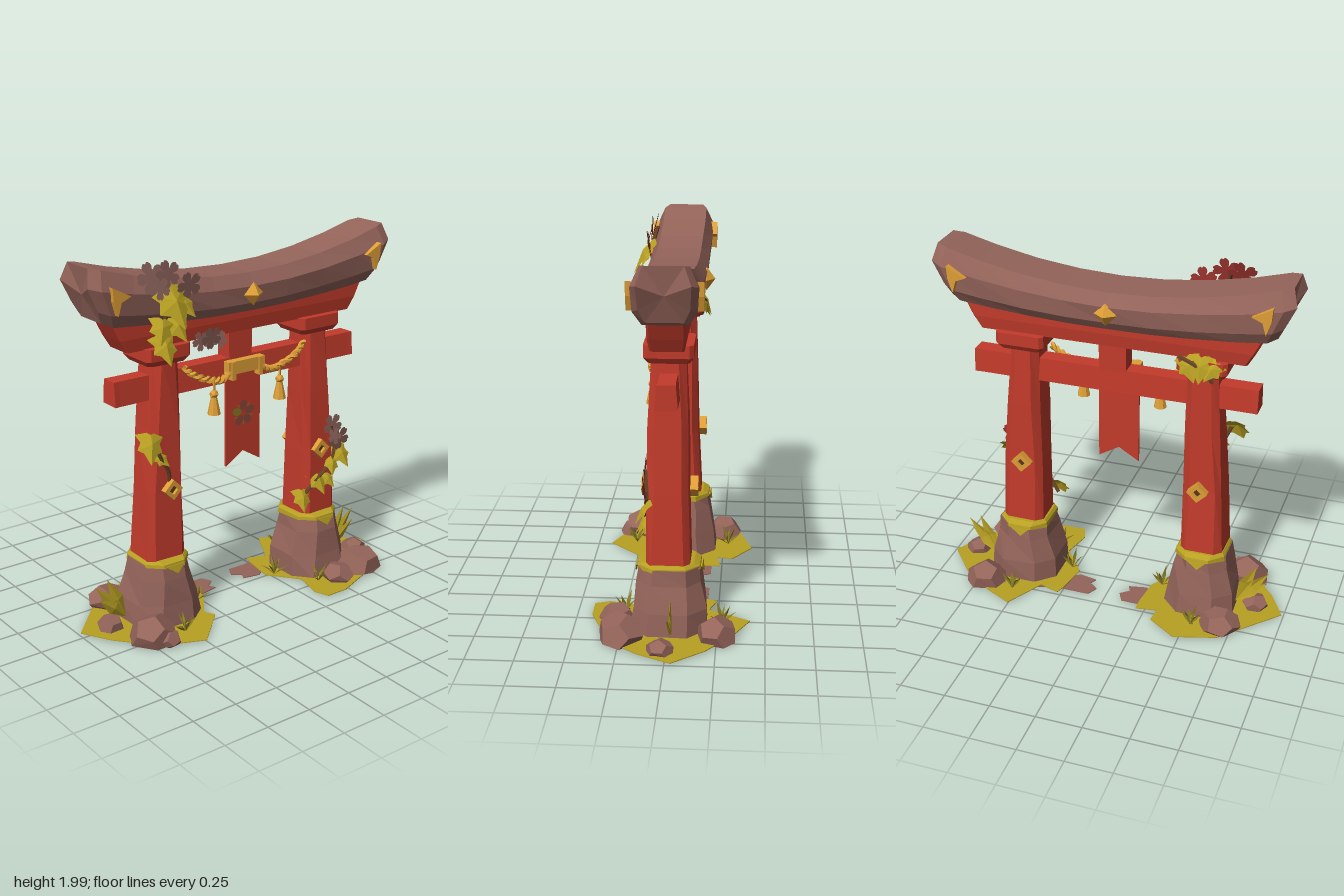
import * as THREE from 'three';

const mat = (name, color, double) => {
  const m = new THREE.MeshStandardMaterial({ color });
  m.name = name;
  if (double) m.side = THREE.DoubleSide;
  return m;
};

export function createModel() {
  const root = new THREE.Group();
  const M = {
    red: mat('red lacquer', 0xc23b2b, true),
    stone: mat('mauve brown stone', 0x94645a),
    moss: mat('moss olive', 0xb9a123, true),
    grass: mat('dark grass', 0x857a22, true),
    gold: mat('gold', 0xdf9f37),
    vine: mat('vine brown', 0x684426),
    petal: mat('petal mauve', 0x8c625a),
    crimson: mat('petal back crimson', 0x94302a),
    emblem: mat('banner blossom brown', 0x87493a),
    dark: mat('dark recess', 0x5a321f),
  };
  let seed = 7;
  const rnd = () => (seed = (seed * 16807) % 2147483647) / 2147483647 - 0.5;
  const V = (x, y, z) => new THREE.Vector3(x, y, z);

  const add = (name, geo, material, parent = root) => {
    const g = geo.index ? geo.toNonIndexed() : geo;
    g.computeVertexNormals();
    const mesh = new THREE.Mesh(g, material);
    mesh.name = name;
    parent.add(mesh);
    return mesh;
  };
  const fromTris = (pts) => new THREE.BufferGeometry().setFromPoints(pts);

  // Closed faceted solid through rings of equal length, turned outward by its volume
  const loft = (rings) => {
    const t = [];
    const mid = (r) => r.reduce((a, p) => a.add(p), V(0, 0, 0)).divideScalar(r.length);
    const n = rings[0].length, first = rings[0], last = rings[rings.length - 1];
    const c0 = mid(first), c1 = mid(last);
    for (let j = 0; j < n; j++) {
      const k = (j + 1) % n;
      t.push(c0, first[k], first[j], c1, last[j], last[k]);
      for (let i = 0; i + 1 < rings.length; i++) {
        const a = rings[i], b = rings[i + 1];
        t.push(a[j], a[k], b[k], a[j], b[k], b[j]);
      }
    }
    let vol = 0;
    for (let i = 0; i < t.length; i += 3) vol += t[i].dot(t[i + 1].clone().cross(t[i + 2]));
    if (vol < 0) for (let i = 0; i < t.length; i += 3) [t[i + 1], t[i + 2]] = [t[i + 2], t[i + 1]];
    return fromTris(t);
  };
  // Rectangle with cut corners, as [u, v] pairs
  const cutRect = (a, b, c) => [[a, -b + c], [a, b - c], [a - c, b], [-a + c, b],
    [-a, b - c], [-a, -b + c], [-a + c, -b], [a - c, -b]];
  const ringY = (y, hx, hz, c, cx = 0, cz = 0, j = 0) =>
    cutRect(hx, hz, c).map(([x, z]) => V(cx + x + rnd() * j, y, cz + z + rnd() * j));

  // Mount on the +x (side 1) or -x (side -1) face; local x, y then run across that face
  const mount = (o, x, y, z, side = 1, roll = 0, tilt = 0) => {
    o.rotation.set(tilt, side * Math.PI / 2, roll, 'YXZ');
    o.position.set(x, y, z);
    return o;
  };
  const shape = (pts) => new THREE.Shape(pts.map(([x, y]) => new THREE.Vector2(x, y)));
  const slab = (pts, depth) => new THREE.ExtrudeGeometry(shape(pts), { depth, bevelEnabled: false });

  // Curved roof beam
  const stations = [-1, -0.94, -0.75, -0.5, -0.25, 0, 0.25, 0.5, 0.75, 0.94, 1];
  const profile = [[0.115, 0], [0.152, 0.24], [0.162, 0.68], [0.12, 1]];
  const section = [...profile, ...profile.slice().reverse().map(([x, v]) => [-x, v])];
  add('roofBeam', loft(stations.map((s) => {
    const yb = 1.64 + 0.05 * s * s, yt = 1.845 + 0.15 * s * s, end = Math.abs(s) === 1;
    return section.map(([x, v]) => {
      const reach = v < 0.68 ? 0.88 + 0.09 * v / 0.68 : 0.97 - 0.025 * (v - 0.68) / 0.32;
      const vv = end ? 0.06 + v * 0.92 : v;
      return V(x * (end ? 0.8 : 1) + (end ? 0 : rnd() * 0.008), yb + (yt - yb) * vv, s * reach);
    });
  })), M.stone);

  // Red beams
  add('upperBeam', loft([ringY(1.53, 0.085, 0.73, 0.012), ringY(1.6, 0.095, 0.77, 0.012),
    ringY(1.69, 0.095, 0.815, 0.012)]), M.red);
  add('tieBeam', loft([[-0.79, 1.12], [-0.76, 1], [0.76, 1], [0.79, 1.12]].map(([z, k]) =>
    [[0.055, 1.25], [0.045, 1.38], [-0.045, 1.38], [-0.055, 1.25]].map(([x, y]) =>
      V(x * (k > 1 ? 1.05 : 1), y, z)))), M.red);
  add('centreStrut', new THREE.BoxGeometry(0.1, 0.17, 0.15).translate(0, 1.455, 0), M.red);

  // Posts with capitals, stone feet, moss collars and gold ornaments
  for (const s of [1, -1]) {
    add('post', loft([[0.34, 0.12, 0.118, 0.525], [0.75, 0.108, 0.108, 0.518], [1.1, 0.1, 0.094, 0.505],
      [1.47, 0.09, 0.08, 0.495]].map(([y, hx, hz, cz]) => ringY(y, hx, hz, 0.035, 0.005, s * cz, 0.012))), M.red);
    add('capital', loft([ringY(1.44, 0.105, 0.115, 0.02, 0, s * 0.5), ringY(1.47, 0.125, 0.135, 0.02, 0, s * 0.5),
      ringY(1.535, 0.125, 0.135, 0.02, 0, s * 0.5)]), M.red);
    add('stoneFoot', loft([[0, 0.2, 0.2], [0.13, 0.192, 0.185], [0.27, 0.172, 0.15], [0.355, 0.155, 0.134]].map(
      ([y, hx, hz]) => ringY(y, hx, hz, hx * 0.48, 0, s * 0.525, 0.02))), M.stone);
    const low = ringY(0.342, 0.164, 0.14, 0.075, 0, s * 0.522);
    low.forEach((p, i) => { if (i % 3 === 0) p.y -= 0.012; });
    add('mossCollar', loft([low, ringY(0.36, 0.16, 0.138, 0.072, 0, s * 0.522),
      ringY(0.376, 0.13, 0.125, 0.05, 0, s * 0.522)]), M.moss);
    for (const side of [1, -1]) {
      const drip = add('mossDrip', slab([[-0.06, 0], [0.06, 0], [0.01, -0.05]], 0.008), M.moss);
      mount(drip, side * 0.163, 0.35, s * 0.52, side, 0, -0.2);
      const frame = shape([[-0.04, -0.04], [0.04, -0.04], [0.04, 0.04], [-0.04, 0.04]]);
      frame.holes.push(shape([[-0.018, -0.018], [-0.018, 0.018], [0.018, 0.018], [0.018, -0.018]]));
      const charm = mount(new THREE.Group(), side * 0.105, 0.765, s * 0.505, side, Math.PI / 4);
      charm.name = 'postOrnament';
      root.add(charm);
      add('ornamentFrame', new THREE.ExtrudeGeometry(frame, { depth: 0.04, bevelEnabled: false }), M.gold, charm);
      add('ornamentRecess', new THREE.BoxGeometry(0.037, 0.037, 0.02).translate(0, 0, 0.012), M.dark, charm);
      // Gold plate near the roof tip
      const m = side * s;
      const pts = [[-0.045, 0.06], [0.06, 0.005], [0.005, -0.018], [-0.015, -0.085], [-0.04, -0.01]];
      const plate = add('roofTipPlate', slab(pts.map(([x, y]) => [x * m, y]), 0.05), M.gold);
      mount(plate, side * 0.135, 1.84, s * 0.82, side);
    }
  }
  for (const side of [1, -1]) {
    const g = new THREE.OctahedronGeometry(1).scale(0.045, 0.062, 0.062);
    add('roofDiamond', g, M.gold).position.set(side * 0.16, 1.74, 0);
  }

  // Swallow-tailed banner with a painted blossom
  mount(add('banner', slab([[-0.115, 1.32], [-0.115, 0.78], [0, 0.85], [0.115, 0.78], [0.115, 1.32]], 0.012),
    M.red), 0.06, 0, 0);
  const emblem = mount(new THREE.Group(), 0.076, 1.065, 0);
  emblem.name = 'bannerBlossom';
  root.add(emblem);
  for (let i = 0; i < 5; i++) {
    const a = i * Math.PI * 0.4;
    add('bannerPetal', new THREE.CircleGeometry(0.027, 7).scale(0.85, 1.2, 1).translate(0, 0.045, 0).rotateZ(a),
      i === 1 ? M.grass : M.emblem, emblem);
    add('bannerSepal', new THREE.CircleGeometry(0.012, 3).scale(0.6, 1.6, 1).translate(0, 0.055, 0.001)
      .rotateZ(a + 0.63), M.grass, emblem);
  }

  // Plaque, twisted rope swags and tassels
  add('plaque', new THREE.BoxGeometry(0.045, 0.07, 0.24).translate(0.085, 1.34, 0), M.gold);
  for (const s of [1, -1]) {
    add('plaqueClasp', new THREE.BoxGeometry(0.055, 0.1, 0.025).translate(0.088, 1.325, s * 0.09), M.gold);
    const path = new THREE.CatmullRomCurve3([V(0.095, 1.4, s * 0.4), V(0.105, 1.35, s * 0.34),
      V(0.105, 1.305, s * 0.24), V(0.1, 1.29, s * 0.16), V(0.09, 1.32, s * 0.1)]);
    for (const phase of [0, Math.PI]) {
      const strand = Array.from({ length: 41 }, (_, i) => {
        const a = i * 0.75 + phase;
        return path.getPoint(i / 40).add(V(Math.cos(a) * 0.01, Math.sin(a) * 0.01, 0));
      });
      add('ropeStrand', new THREE.TubeGeometry(new THREE.CatmullRomCurve3(strand), 60, 0.012, 5), M.gold);
    }
    const tassel = new THREE.Group();
    tassel.name = 'tassel';
    tassel.position.set(0.11, 0, s * 0.22);
    root.add(tassel);
    add('tasselCord', new THREE.CylinderGeometry(0.007, 0.007, 0.07, 5).translate(0, 1.27, 0), M.gold, tassel);
    add('tasselKnot', new THREE.IcosahedronGeometry(0.026, 0).translate(0, 1.225, 0), M.gold, tassel);
    add('tasselSkirt', new THREE.CylinderGeometry(0.016, 0.036, 0.095, 8).translate(0, 1.163, 0), M.gold, tassel);
  }

  // Ivy leaf: fan around the midrib, sides folded back, tip hanging down
  const half = [[0.12, 0.08], [0.5, 0.02], [0.34, -0.25], [0.44, -0.5], [0.24, -0.6]];
  const rim = [[0, 0], ...half, [0, -1], ...half.slice().reverse().map(([x, y]) => [-x, y])]
    .map(([x, y]) => V(x, y, -Math.abs(x) * 0.3 - y * y * 0.15));
  const leafTris = rim.flatMap((p, i) => [V(0, -0.35, 0.04), rim[(i + 1) % rim.length], p]);
  const leafGeo = fromTris(leafTris);
  const leaf = (x, y, z, size, roll, tilt = -0.65, side = 1) =>
    mount(add('ivyLeaf', leafGeo.clone().scale(size, size, size), M.moss), x, y, z, side, roll, tilt);
  [[0.12, 1.09, 0.625, 0.16, -0.3], [0.11, 0.97, 0.58, 0.09, 0.6],
    [0.17, 1.85, 0.53, 0.22, 0.1], [0.18, 1.7, 0.58, 0.14, -0.4], [0.15, 1.69, 0.5, 0.14, 0.3],
    [0.13, 1.6, 0.55, 0.16, 0], [0.18, 1.8, 0.48, 0.13, 0.5],
    [0.1, 0.74, -0.66, 0.14, 0.2], [0.12, 0.69, -0.6, 0.11, -0.3], [0.11, 0.62, -0.49, 0.14, 0.1],
    [0.11, 0.53, -0.39, 0.13, -0.2], [0.12, 0.6, -0.55, 0.1, 0.4],
  ].forEach((a) => leaf(...a));
  [[-0.12, 1.55, 0.42, 0.14, 0.4], [-0.12, 1.56, 0.5, 0.14, 0], [-0.12, 1.54, 0.58, 0.12, -0.5]]
    .forEach((a) => leaf(...a, -0.5, -1));

  // Vine stems
  [[V(0.12, 1.06, 0.62), V(0.125, 0.95, 0.57), V(0.12, 0.86, 0.52), V(0.11, 0.8, 0.51)],
    [V(0.14, 1.92, 0.57), V(0.175, 1.78, 0.54), V(0.14, 1.62, 0.56), V(0.12, 1.48, 0.52)],
    [V(0.1, 0.46, -0.38), V(0.13, 0.58, -0.48), V(0.125, 0.65, -0.58), V(0.11, 0.74, -0.63), V(0.12, 0.88, -0.59)],
    [V(-0.11, 1.42, 0.56), V(-0.135, 1.5, 0.5), V(-0.12, 1.55, 0.38)],
  ].forEach((p) => add('vineStem', new THREE.TubeGeometry(new THREE.CatmullRomCurve3(p), 14, 0.011, 5), M.vine));

  // Five-petalled blossoms: mauve face, crimson back
  const blossomShape = shape(Array.from({ length: 50 }, (_, i) => {
    const a = i * Math.PI / 25, w = Math.abs(Math.sin(2.5 * a));
    const r = 0.38 + 0.62 * Math.sqrt(w) - (w > 0.99 ? 0.12 : 0);
    return [r * Math.cos(a), r * Math.sin(a)];
  }));
  [[0.16, 1.91, 0.63, 0.085], [0.17, 1.92, 0.54, 0.075], [0.18, 1.85, 0.42, 0.075], [0.19, 1.86, 0.6, 0.06],
    [0.12, 1.53, 0.31, 0.055], [0.13, 1.54, 0.25, 0.065], [0.12, 1.52, 0.19, 0.05],
    [0.12, 0.88, -0.6, 0.07], [0.12, 0.79, -0.65, 0.075], [0.14, 0.82, -0.6, 0.05],
  ].forEach(([x, y, z, r], i) => {
    const b = mount(new THREE.Group(), x, y, z, 1, i * 1.3, -0.25 + (i % 3) * 0.2);
    b.name = 'blossom';
    root.add(b);
    const face = () => new THREE.ShapeGeometry(blossomShape).scale(r, r, 1);
    add('blossomFace', face().translate(0, 0, 0.004), M.petal, b);
    add('blossomBack', face().rotateY(Math.PI), M.crimson, b);
  });

  // Ground patches: moss, with a ragged rim of bare dirt beneath on one side
  const ground = (name, pts, y, m) =>
    add(name, slab(pts.map(([x, z]) => [x, -z]), 0.005).rotateX(-Math.PI / 2).translate(0, y, 0), m);
  ground('mossPatch', [[-0.42, 0.47], [-0.31, 0.31], [-0.22, 0.32], [-0.24, 0.2], [-0.17, 0.2], [0, 0.22], [0.16, 0.33],
    [0.22, 0.3], [0.42, 0.5], [0.32, 0.73], [0.12, 0.9], [-0.04, 0.99], [-0.22, 0.82], [-0.35, 0.7]], 0.005, M.moss);
  ground('mossPatch', [[-0.42, -0.5], [-0.34, -0.66], [-0.2, -0.85], [-0.03, -0.99], [0.15, -0.9], [0.3, -0.78],
    [0.42, -0.47], [0.42, -0.34], [0.34, -0.31], [0.17, -0.35], [0, -0.22], [-0.18, -0.25], [-0.24, -0.27],
    [-0.2, -0.38]], 0.005, M.moss);
  for (const s of [1, -1]) {
    ground('dirtPatch', [[-0.19, 0.1], [-0.13, 0.07], [-0.09, 0.12], [-0.05, 0.1], [-0.03, 0.2], [-0.1, 0.3],
      [-0.15, 0.45], [-0.22, 0.6], [-0.22, 0.4], [-0.19, 0.3]].map(([x, z]) => [x, z * s]), 0, M.stone);
  }

  // Rocks: [x, z, half width, half depth, height]
  [[-0.25, 0.69, 0.1, 0.11, 0.11], [0.24, 0.72, 0.12, 0.12, 0.14], [0, 0.83, 0.07, 0.07, 0.08], [0.33, 0.67, 0.05, 0.06, 0.08],
    [-0.25, -0.7, 0.1, 0.11, 0.12], [0.24, -0.72, 0.12, 0.13, 0.13], [0.28, -0.53, 0.09, 0.085, 0.1],
    [0.03, -0.87, 0.07, 0.07, 0.07]].forEach(([x, z, a, b, h], i) => {
    const g = new THREE.DodecahedronGeometry(1.08).rotateY(i * 1.1).rotateX(0.3);
    const p = g.attributes.position;
    for (let k = 0; k < p.count; k++) p.setY(k, Math.max(p.getY(k), -0.3));
    add('rock', g.translate(0, 0.3, 0).scale(a, h / 1.3, b).translate(x, 0, z), M.stone);
  });

  // Grass: folded pointed blades from a base to a tip
  const blade = (base, tip, w, m) => {
    const d = tip.clone().sub(base);
    const side = d.clone().cross(Math.abs(d.x) < 0.02 ? V(1, 0, 0) : V(0, 1, 0)).setLength(w);
    const c = base.clone().lerp(tip, 0.45).add(V(0.012, 0.008, 0));
    const l = c.clone().add(side).add(V(-0.012, 0, 0)), r = c.clone().sub(side).add(V(-0.012, 0, 0));
    add('grassBlade', fromTris([base, c, l, l, c, tip, base, r, c, c, r, tip]), m);
  };
  for (const s of [1, -1]) {
    [[0.28, 0.83], [0.18, 0.89], [0.25, 0.9]].forEach(([y, z], i) =>
      blade(V(-0.02, 0.03, s * 0.72), V(-0.02 + (i % 2) * 0.015, y, s * z), 0.038, M.moss));
  }
  [[-0.28, 0.53], [0.27, 0.53], [-0.28, -0.53], [0.24, -0.42], [0.02, 0.28], [0.02, -0.27]].forEach(([x, z]) => {
    for (let i = 0; i < 6; i++) {
      const a = i * 1.05 + x * 9, r = 0.045 + (i % 3) * 0.015;
      blade(V(x, 0.005, z), V(x + Math.cos(a) * r, 0.12 - (i % 3) * 0.03, z + Math.sin(a) * r), 0.011, M.grass);
    }
  });
  return root;
}
